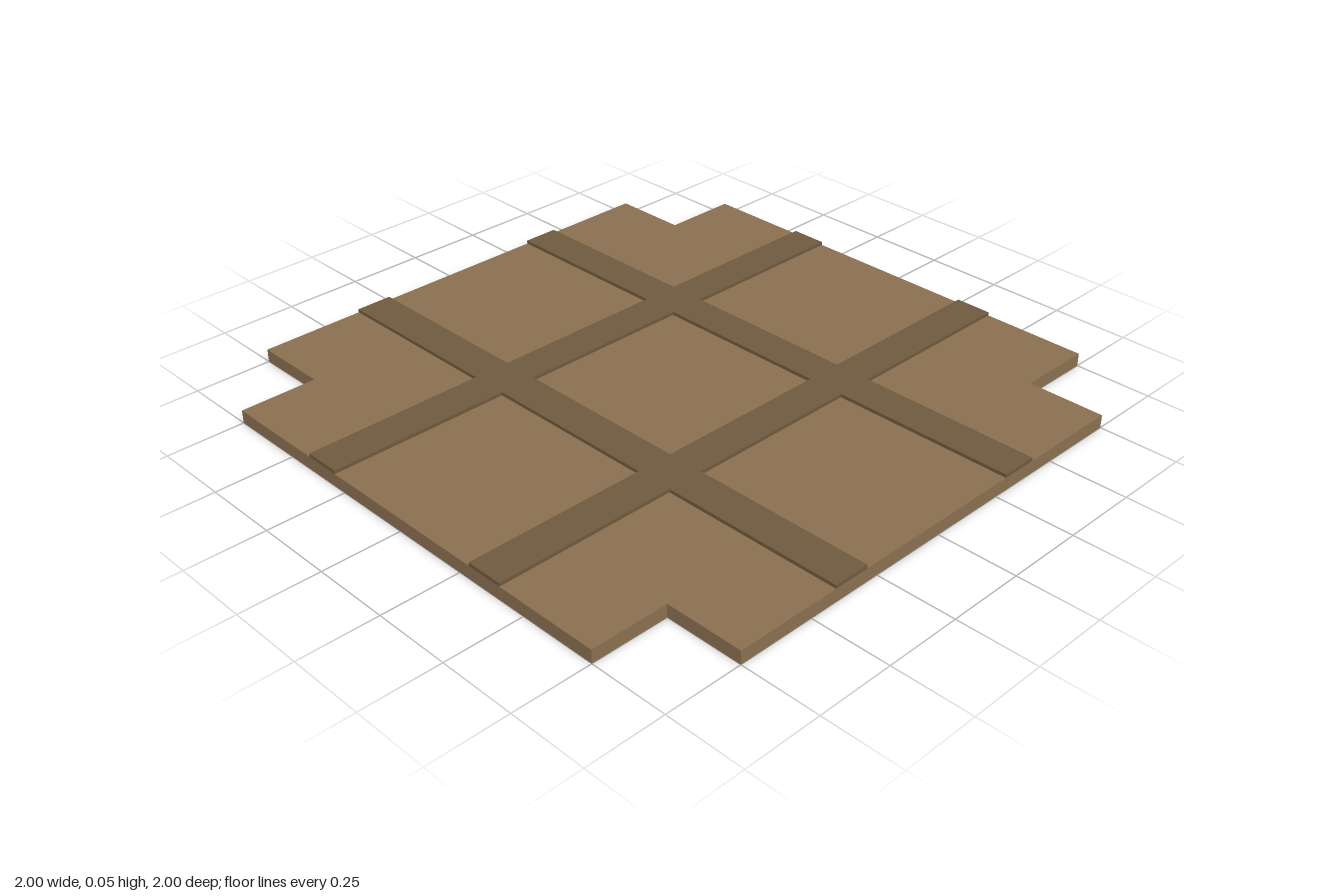
import * as THREE from 'three';

const PLATE_H = 0.042, TOTAL_H = 0.053;
const STRIP_W = 0.12, STRIP_AT = 0.35, NOTCH = 0.75;

export function createModel() {
  const group = new THREE.Group();
  const plateMat = new THREE.MeshStandardMaterial({ color: 0x8b7051 });
  const stripMat = new THREE.MeshStandardMaterial({ color: 0x6f5a3f });

  // Square plate with a notch cut from each corner
  const n = NOTCH;
  const outline = [[n, -1], [n, -n], [1, -n], [1, n], [n, n], [n, 1],
    [-n, 1], [-n, n], [-1, n], [-1, -n], [-n, -n], [-n, -1]];
  const shape = new THREE.Shape(outline.map(([x, y]) => new THREE.Vector2(x, y)));
  const plateGeo = new THREE.ExtrudeGeometry(shape, { depth: PLATE_H, bevelEnabled: false });
  plateGeo.rotateX(-Math.PI / 2);
  const plate = new THREE.Mesh(plateGeo, plateMat);
  plate.name = 'plate';
  group.add(plate);

  // Raised crossing strips
  const strips = new THREE.Group();
  strips.name = 'crossStrips';
  group.add(strips);
  const h = TOTAL_H - PLATE_H;
  const addStrip = (name, w, d, x, z) => {
    const strip = new THREE.Mesh(new THREE.BoxGeometry(w, h, d), stripMat);
    strip.name = name;
    strip.position.set(x, PLATE_H + h / 2, z);
    strips.add(strip);
  };

  // Lengthwise strips are split where the crosswise ones pass
  const inner = STRIP_AT - STRIP_W / 2, outer = STRIP_AT + STRIP_W / 2;
  for (const s of [-1, 1]) {
    addStrip('crosswiseStrip', 2, STRIP_W, 0, s * STRIP_AT);
    for (const [z0, z1] of [[-1, -outer], [-inner, inner], [outer, 1]]) {
      addStrip('lengthwiseStrip', STRIP_W, z1 - z0, s * STRIP_AT, (z0 + z1) / 2);
    }
  }
  return group;
}
